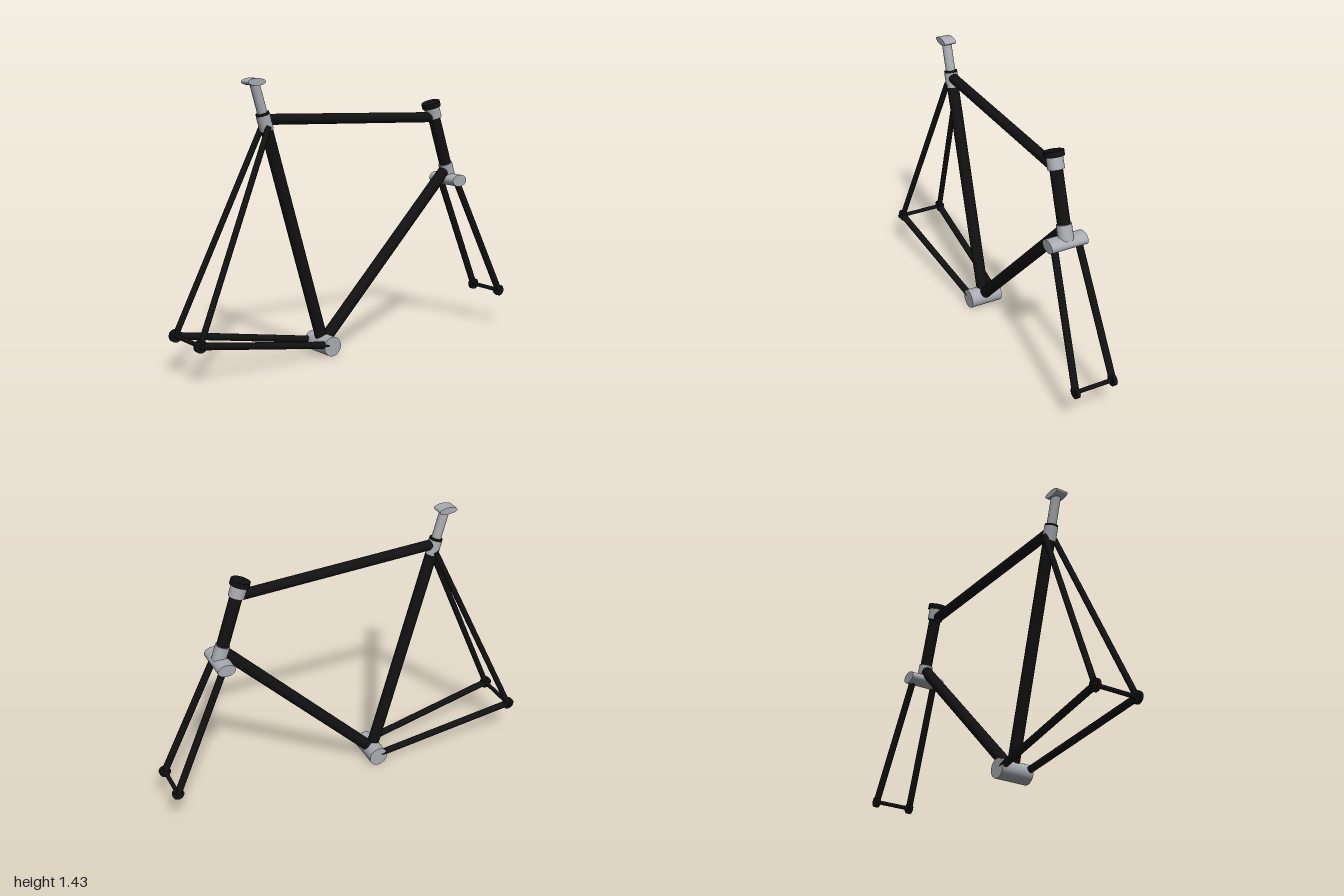
import * as THREE from 'three';

const black = new THREE.MeshStandardMaterial({ color: 0x111111 });
black.name = 'black paint';
const silver = new THREE.MeshStandardMaterial({ color: 0xa9acb2 });
silver.name = 'silver metal';

const UP = new THREE.Vector3(0, 1, 0);

export function createModel() {
  const frame = new THREE.Group();
  frame.name = 'bicycleFrame';

  // Round tube between two points
  function tube(name, a, b, radius, material, sides = 28) {
    const from = new THREE.Vector3(...a);
    const dir = new THREE.Vector3(...b).sub(from);
    const mesh = new THREE.Mesh(new THREE.CylinderGeometry(radius, radius, dir.length(), sides), material);
    mesh.position.copy(from).addScaledVector(dir, 0.5);
    mesh.quaternion.setFromUnitVectors(UP, dir.normalize());
    mesh.name = name;
    frame.add(mesh);
    return mesh;
  }

  // Elliptical bar lying along z
  function ovalBar(name, x, y, rx, ry, halfWidth, tilt = 0) {
    const geometry = new THREE.CylinderGeometry(1, 1, 2 * halfWidth, 36);
    geometry.rotateX(Math.PI / 2).scale(rx, ry, 1).rotateZ(tilt);
    const mesh = new THREE.Mesh(geometry, silver);
    mesh.position.set(x, y, 0);
    mesh.name = name;
    frame.add(mesh);
  }

  // Points on the seat tube and steering axes at a given height
  const seatAxis = (y) => [-0.176 - 0.294 * (y - 0.055), y, 0];
  const headAxis = (y) => [0.545 + 0.326 * (1.242 - y), y, 0];
  const bottom = [-0.176, 0.055, 0];

  // Main triangle
  tube('seatTube', bottom, seatAxis(1.2), 0.031, black);
  tube('topTube', seatAxis(1.228), headAxis(1.181), 0.027, black);
  tube('downTube', bottom, headAxis(0.9), 0.031, black);
  tube('headTube', headAxis(0.88), headAxis(1.22), 0.032, black);
  ovalBar('bottomBracket', -0.176, 0.051, 0.051, 0.051, 0.09);

  // Seat cluster
  tube('seatLug', seatAxis(1.175), seatAxis(1.25), 0.035, silver);
  tube('seatCollar', seatAxis(1.25), seatAxis(1.261), 0.034, black);
  tube('seatPost', seatAxis(1.25), seatAxis(1.412), 0.025, silver);
  ovalBar('saddleClamp', -0.578, 1.413, 0.05, 0.018, 0.033);

  // Steering column
  tube('upperHeadLug', headAxis(1.178), headAxis(1.238), 0.041, silver);
  tube('headCap', headAxis(1.236), headAxis(1.262), 0.05, black);
  tube('lowerHeadLug', headAxis(0.85), headAxis(0.925), 0.038, silver);
  ovalBar('forkCrown', 0.668, 0.838, 0.047, 0.032, 0.099);

  // Mirrored stays, fork blades and dropouts
  for (const s of [-1, 1]) {
    const side = s > 0 ? 'Front' : 'Back';
    const rear = [-0.968, 0.192, s * 0.12];
    const front = [0.967, 0.192, s * 0.104];
    tube('seatStay' + side, [-0.513, 1.195, s * 0.03], rear, 0.015, black);
    tube('chainStay' + side, [-0.176, 0.055, s * 0.071], rear, 0.018, black);
    tube('forkBlade' + side, [0.668, 0.842, s * 0.066], front, 0.018, black);
    for (const [name, p, r] of [['rearDropout', rear, 0.032], ['forkDropout', front, 0.03]])
      tube(name + side, [p[0], p[1], p[2] - 0.01], [p[0], p[1], p[2] + 0.01], r, black);
  }

  // Axles
  tube('rearAxle', [-0.968, 0.192, -0.146], [-0.968, 0.192, 0.146], 0.011, black);
  tube('frontAxle', [0.967, 0.192, -0.116], [0.967, 0.192, 0.116], 0.011, black);

  return frame;
}
